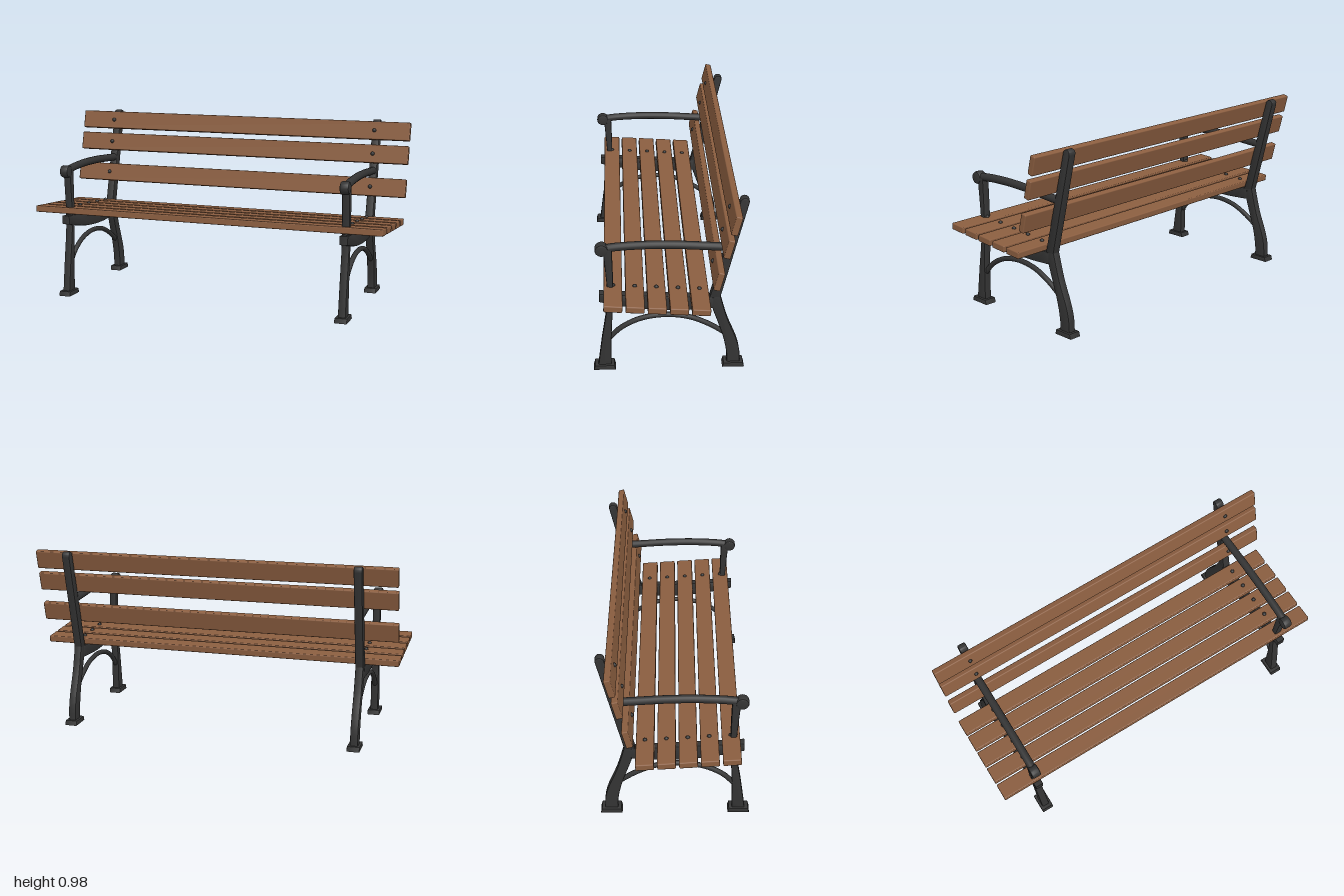
import * as THREE from 'three';
import { toCreasedNormals } from 'three/addons/utils/BufferGeometryUtils.js';
import { RoundedBoxGeometry } from 'three/addons/geometries/RoundedBoxGeometry.js';

const wood = new THREE.MeshStandardMaterial({ color: 0x8b5e40 });
wood.name = 'wood';
const iron = new THREE.MeshStandardMaterial({ color: 0x343434 });
iron.name = 'cast iron';

function add(parent, name, geometry, material) {
  const mesh = new THREE.Mesh(geometry, material);
  mesh.name = name;
  parent.add(mesh);
  return mesh;
}

const vec = (pts) => pts.map(([z, y]) => new THREE.Vector2(z, y));

// Side profile drawn in (z, y), given a width along x and softened edges.
function casting(shape, width, bevel = 0.006) {
  const geometry = new THREE.ExtrudeGeometry(shape, {
    depth: width - 2 * bevel, bevelEnabled: true, bevelThickness: bevel,
    bevelSize: bevel, bevelOffset: -bevel, bevelSegments: 2, curveSegments: 10,
  });
  geometry.translate(0, 0, bevel - width / 2);
  geometry.rotateY(-Math.PI / 2);
  return toCreasedNormals(geometry, 0.6);
}

// Closed profile between two smooth edges that run in the same direction.
function between(edgeA, edgeB) {
  const sample = (pts) => new THREE.SplineCurve(vec(pts)).getPoints(14);
  return new THREE.Shape([...sample(edgeA), ...sample(edgeB).reverse()]);
}

function rod(pts, radius) {
  const path = new THREE.CatmullRomCurve3(pts.map(([z, y]) => new THREE.Vector3(0, y, z)));
  return new THREE.TubeGeometry(path, 32, radius, 14);
}

function createFrame() {
  const frame = new THREE.Group();

  // Feet
  for (const [z, name] of [[0.335, 'frontFoot'], [-0.333, 'rearFoot']]) {
    const foot = new THREE.Shape(vec([[z - 0.057, 0], [z + 0.057, 0], [z + 0.05, 0.026], [z - 0.05, 0.026]]));
    add(frame, name, casting(foot, 0.068, 0.003), iron);
  }

  // Front leg running up into the arm post
  add(frame, 'frontLeg', casting(between(
    [[0.368, 0.02], [0.345, 0.19], [0.32, 0.35], [0.314, 0.45], [0.318, 0.55], [0.33, 0.71]],
    [[0.3, 0.02], [0.297, 0.19], [0.288, 0.35], [0.284, 0.45], [0.283, 0.55], [0.286, 0.71]],
  ), 0.042), iron);

  // Curved rear leg
  add(frame, 'rearLeg', casting(between(
    [[-0.205, 0.435], [-0.218, 0.36], [-0.272, 0.2], [-0.296, 0.09], [-0.299, 0.02]],
    [[-0.257, 0.435], [-0.296, 0.294], [-0.342, 0.177], [-0.363, 0.1], [-0.368, 0.02]],
  ), 0.042), iron);

  // Leaning back post with a rounded top
  const post = new THREE.Shape();
  post.moveTo(-0.258, 0.42);
  post.lineTo(-0.203, 0.42);
  post.lineTo(-0.344, 0.967);
  post.absarc(-0.366, 0.961, 0.0235, 0.25, Math.PI - 0.0 + 0.25 - 0.45, false);
  post.lineTo(-0.388, 0.955);
  post.closePath();
  add(frame, 'backPost', casting(post, 0.044), iron);

  // Seat rail with a bellied underside
  add(frame, 'seatRail', casting(between(
    [[0.355, 0.456], [0.2, 0.446], [0, 0.435], [-0.225, 0.422]],
    [[0.355, 0.408], [0.225, 0.377], [0.095, 0.357], [-0.06, 0.349], [-0.225, 0.358]],
  ), 0.046), iron);

  // Bracing arch
  add(frame, 'archBrace', rod([
    [0.305, 0.18], [0.25, 0.238], [0.15, 0.292], [0.025, 0.313], [-0.1, 0.297], [-0.2, 0.253], [-0.295, 0.19],
  ], 0.0135), iron);

  // Armrest and its scrolled end
  add(frame, 'armrest', rod([
    [0.335, 0.705], [0.28, 0.715], [0.12, 0.724], [-0.05, 0.721], [-0.2, 0.711], [-0.305, 0.704],
  ], 0.0212), iron);
  const scroll = new THREE.Shape();
  scroll.absarc(0.337, 0.705, 0.034, 0, Math.PI * 2);
  add(frame, 'armScroll', casting(scroll, 0.05, 0.01), iron);

  return frame;
}

// A plank with a domed bolt over each frame.
function createSlat(name, height, depth, boltSide) {
  const slat = new THREE.Group();
  slat.name = name;
  add(slat, 'plank', new RoundedBoxGeometry(2, height, depth, 2, 0.006), wood);
  for (const x of [-0.8, 0.8]) {
    const bolt = add(slat, 'bolt', new THREE.SphereGeometry(0.011, 14, 10), iron);
    bolt.position.x = x;
    bolt.position[boltSide] = (boltSide === 'y' ? height : depth) / 2;
  }
  return slat;
}

export function createModel() {
  const bench = new THREE.Group();
  bench.name = 'parkBench';

  // Two identical end frames
  for (const [x, name] of [[0.8, 'leftFrame'], [-0.8, 'rightFrame']]) {
    const frame = createFrame();
    frame.name = name;
    frame.position.x = x;
    bench.add(frame);
  }

  // Seat slats, sloping down toward the back
  for (let i = 0; i < 5; i++) {
    const slat = createSlat('seatSlat', 0.036, 0.093, 'y');
    slat.position.set(0, 0.477 - 0.0077 * i, 0.285 - 0.109 * i);
    slat.rotation.x = -0.07;
    bench.add(slat);
  }

  // Backrest slats, leaning with the posts
  for (const [y, z] of [[0.621, -0.234], [0.8, -0.279], [0.927, -0.311]]) {
    const slat = createSlat('backSlat', 0.102, 0.034, 'z');
    slat.position.set(0, y, z);
    slat.rotation.x = -0.245;
    bench.add(slat);
  }

  return bench;
}
